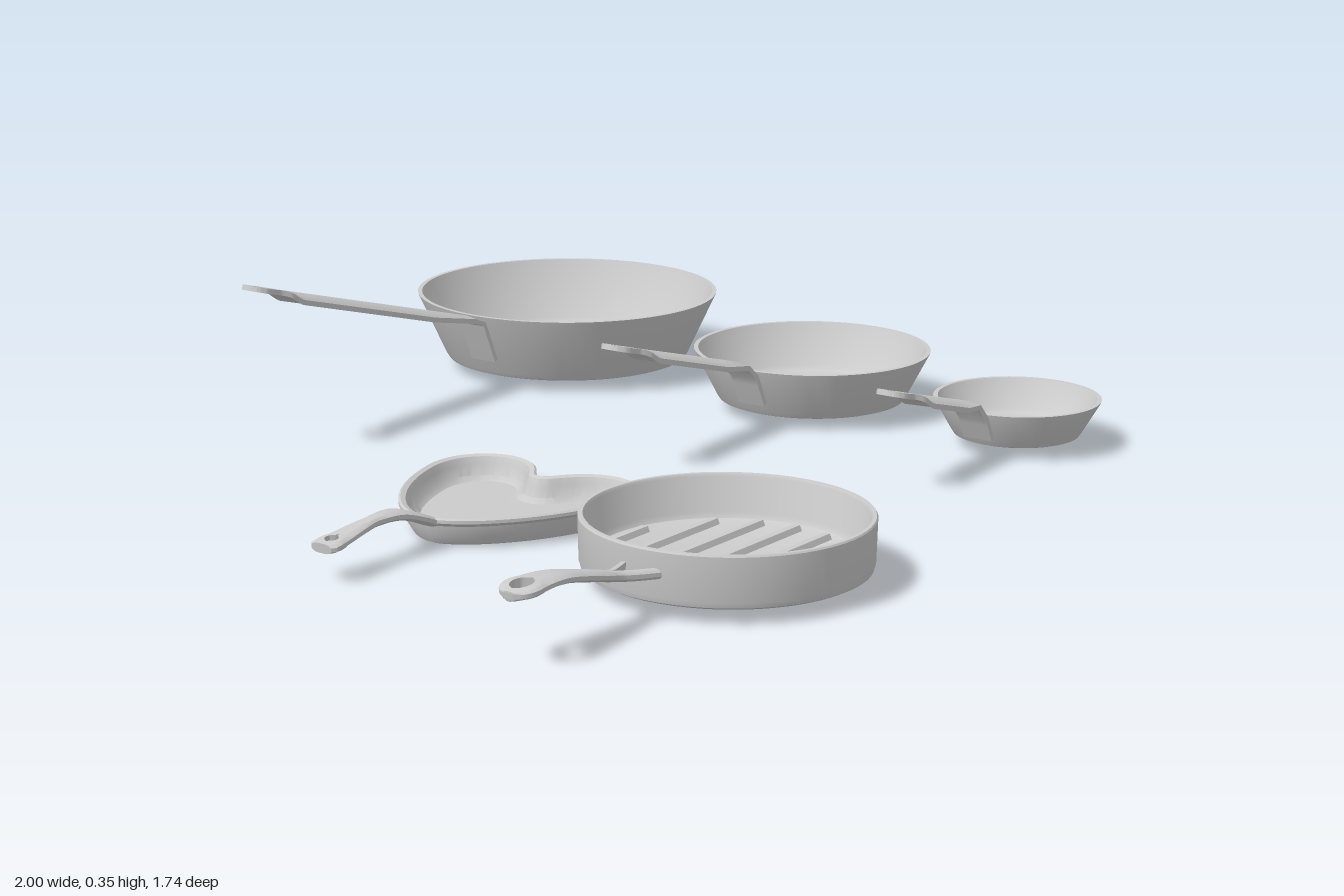
import * as THREE from 'three';
import { mergeGeometries, toCreasedNormals } from 'three/addons/utils/BufferGeometryUtils.js';

const material = new THREE.MeshStandardMaterial({ color: 0xcccccc });

function addMesh(parent, geometry, name, crease = 0.6) {
  const mesh = new THREE.Mesh(crease ? toCreasedNormals(geometry, crease) : geometry, material);
  mesh.name = name;
  parent.add(mesh);
  return mesh;
}

// Skin a list of closed rings of [x, y, z] points
function loft(rings, { flip = false, caps = false } = {}) {
  const n = rings[0].length, index = [];
  const tri = (a, b, c) => (flip ? index.push(a, c, b) : index.push(a, b, c));
  for (let i = 0; i < rings.length - 1; i++) {
    for (let j = 0; j < n; j++) {
      const a = i * n + j, b = i * n + (j + 1) % n;
      tri(a, b, b + n);
      tri(a, b + n, a + n);
    }
  }
  if (caps) {
    const last = (rings.length - 1) * n;
    for (let j = 0; j < n / 2 - 1; j++) {
      const k = n - 1 - j;
      tri(j, k, j + 1); tri(j + 1, k, k - 1);
      tri(last + j, last + j + 1, last + k); tri(last + j + 1, last + k - 1, last + k);
    }
  }
  const geometry = new THREE.BufferGeometry();
  geometry.setAttribute('position', new THREE.Float32BufferAttribute(rings.flat(2), 3));
  geometry.setIndex(index);
  return geometry;
}

// Mirrored handle; each station is { x, y, zin, zout, arch }, where zin opens holes and forks
function strap(stations, thickness, round = 0) {
  const halves = [1, -1].map((side) => {
    const rings = stations.map((s, i) => {
      const p = stations[Math.max(i - 1, 0)], q = stations[Math.min(i + 1, stations.length - 1)];
      const len = Math.hypot(q.x - p.x, q.y - p.y);
      const nx = -(q.y - p.y) / len, ny = (q.x - p.x) / len;
      const ring = [];
      for (let k = 0; k < 12; k++) {
        const top = k < 6, f = (top ? k : 11 - k) / 5;
        const z = s.zin + (s.zout - s.zin) * f;
        const h = (top ? 1 : -1) * thickness / 2 * (1 - round * f ** 4) - (s.arch || 0) * f * f;
        ring.push([s.x + nx * h, s.y + ny * h, side * z]);
      }
      return ring;
    });
    return loft(rings, { flip: side < 0, caps: true });
  });
  return mergeGeometries(halves);
}

const circleHalf = (d, centre, r) => Math.sqrt(Math.max(0, r * r - (d - centre) ** 2));
const lathe = (pts) => new THREE.LatheGeometry(pts.map(([x, y]) => new THREE.Vector2(x, y)), 72);

// Sloped pan with a long riveted strap handle
function skillet(name, z, radius, baseRadius, top, tipX) {
  const cx = 0.675, base = 0.022, wall = 0.009;
  const pan = new THREE.Group();
  pan.name = name;
  pan.position.set(cx, 0, z);
  const slope = (radius - baseRadius) / (top - base);
  addMesh(pan, lathe([
    [0, base], [baseRadius - 0.012, base], [baseRadius - 0.003, base + 0.003], [baseRadius + 0.003, base + 0.012],
    [radius - 0.001, top - 0.003], [radius, top], [radius - wall, top],
    [baseRadius + slope * 0.02 - wall, base + 0.02], [baseRadius - 0.01, base + 0.011],
    [baseRadius - 0.022, base + 0.008], [0, base + 0.008],
  ]), 'panBody');

  // Ringed tip, narrow neck, arched grip
  const line = (x) => 0.34 - 0.272 * (x + 0.32);
  const rimX = cx - radius, r = 0.033, stations = [];
  const shaft = (d) => {
    const body = THREE.MathUtils.lerp(0.019, 0.031, THREE.MathUtils.smoothstep(d, 0.068, 0.1));
    return {
      x: tipX + d - cx, y: line(tipX + d),
      zin: circleHalf(d, r, 0.016),
      zout: Math.max(circleHalf(d, r, r), d > r ? body : 0),
      arch: 0.012 * THREE.MathUtils.smoothstep(d, 0.08, 0.13),
    };
  };
  for (let i = 0; i <= 30; i++) stations.push(shaft(0.14 * (i / 30) ** 1.3));
  const straight = rimX - 0.03 - tipX;
  for (let i = 1; i <= 4; i++) stations.push(shaft(0.14 + (straight - 0.14) * i / 4));
  stations.at(-1).arch = 0.004;
  // Tab running down the outside of the wall
  for (const f of [0.1, 0.25, 0.7]) {
    const y = top - f * (top - base);
    stations.push({ x: -radius + slope * (top - y) - 0.007, y, zin: 0, zout: 0.031, arch: 0 });
  }
  addMesh(pan, strap(stations, 0.01), 'handle');

  // Rivets through the wall
  for (const [f, dz] of [[0.25, -0.014], [0.25, 0.014], [0.5, 0]]) {
    const y = top - f * (top - base);
    const rivet = addMesh(pan, new THREE.SphereGeometry(0.009, 14, 10), 'rivet', 0);
    rivet.scale.set(1.5, 1, 1);
    rivet.rotation.z = -Math.atan(slope);
    rivet.position.set(-radius + slope * (top - y) + 0.004, y, dz);
  }
  return pan;
}

// Straight-sided pan with raised ribs and a forked handle
function grillPan() {
  const pan = new THREE.Group();
  pan.name = 'grillPan';
  pan.position.set(-0.4, 0, 0.61);
  addMesh(pan, lathe([
    [0, 0.025], [0.24, 0.025], [0.25, 0.03], [0.253, 0.04], [0.255, 0.118], [0.253, 0.121], [0.246, 0.121],
    [0.243, 0.116], [0.239, 0.052], [0.233, 0.042], [0.222, 0.038], [0, 0.038],
  ]), 'panBody');
  for (let k = -3; k <= 3; k++) {
    const z = k * 0.0697, half = Math.sqrt(0.215 ** 2 - z * z);
    const profile = new THREE.Shape([[-0.011, 0], [0.011, 0], [0.006, 0.011], [-0.006, 0.011]]
      .map(([x, y]) => new THREE.Vector2(x, y)));
    const rib = new THREE.ExtrudeGeometry(profile, { depth: 2 * half, bevelEnabled: false });
    rib.translate(0, 0, -half).rotateY(Math.PI / 2);
    addMesh(pan, rib, 'rib').position.set(0, 0.037, z);
  }
  const curve = new THREE.SplineCurve([[0, 0.124], [0.05, 0.13], [0.12, 0.126], [0.2, 0.108], [0.28, 0.088], [0.352, 0.08]]
    .map(([x, y]) => new THREE.Vector2(x, y)));
  const stations = [];
  for (let i = 0; i <= 56; i++) {
    const { x: d, y } = curve.getPoint((i / 56) ** 1.3);
    const fork = THREE.MathUtils.clamp((d - 0.275) / 0.077, 0, 1);
    const body = 0.037 - 0.021 * THREE.MathUtils.clamp((d - 0.04) / 0.235, 0, 1);
    stations.push({
      x: d - 0.6, y,
      zin: d < 0.1 ? 0.8 * circleHalf(d, 0.037, 0.023) : 0.03 * fork,
      zout: (d < 0.037 ? circleHalf(d, 0.037, 0.037) : body) + 0.028 * fork,
    });
  }
  addMesh(pan, strap(stations, 0.018, 0.6), 'forkedHandle');
  return pan;
}

// Shallow heart dish, its tip towards the handle
function heartPan() {
  const pan = new THREE.Group();
  pan.name = 'heartPan';
  pan.position.set(-0.36, 0, 0.072);
  const half = [[0.135, 0.008], [0.16, 0.028], [0.185, 0.05], [0.207, 0.085], [0.213, 0.13], [0.196, 0.175], [0.155, 0.208],
    [0.1, 0.218], [0.03, 0.203], [-0.05, 0.17], [-0.12, 0.125], [-0.17, 0.077], [-0.198, 0.03]];
  const outline = [...half.map(([x, z]) => [x, -z]), [-0.204, 0], ...half.slice().reverse()];
  const curve = new THREE.CatmullRomCurve3(outline.map(([x, z]) => new THREE.Vector3(x, 0, z)), true);
  const N = 120;
  const ring = (inset, y) => Array.from({ length: N }, (_, i) => {
    const p = curve.getPoint(i / N), t = curve.getTangent(i / N);
    return [p.x + t.z * inset, y, p.z - t.x * inset];
  });
  const centre = (y) => Array.from({ length: N }, () => [0, y, 0]);
  addMesh(pan, loft([
    centre(0), ring(0.034, 0), ring(0.024, 0.004), ring(0.014, 0.02), ring(0.009, 0.04), ring(0, 0.047), ring(0, 0.053),
    ring(0.004, 0.056), ring(0.013, 0.053), ring(0.019, 0.04), ring(0.025, 0.02), ring(0.036, 0.011), centre(0.01),
  ]), 'heartDish');

  // Waisted handle with a slot at its squared end
  const bend = new THREE.SplineCurve([[0, 0.062], [0.05, 0.068], [0.13, 0.078], [0.19, 0.077], [0.24, 0.062], [0.278, 0.046]]
    .map(([x, y]) => new THREE.Vector2(x, y)));
  const stations = [];
  for (let i = 0; i <= 48; i++) {
    const { x: d, y } = bend.getPoint((i / 48) ** 1.2);
    const waist = 0.014 + 0.015 * Math.min(1, Math.abs(d - 0.13) / 0.11);
    stations.push({ x: d - 0.47, y, zin: circleHalf(d, 0.028, 0.013), zout: d < 0.006 ? 0.022 + d : waist });
  }
  addMesh(pan, strap(stations, 0.018, 0.6), 'heartHandle');
  return pan;
}

export function createModel() {
  const group = new THREE.Group();
  group.name = 'panSet';
  group.add(
    skillet('largeSkillet', -0.553, 0.32, 0.258, 0.163, -0.325),
    skillet('mediumSkillet', 0.075, 0.241, 0.192, 0.125, -0.02),
    skillet('smallSkillet', 0.555, 0.164, 0.126, 0.096, 0.185),
    grillPan(),
    heartPan(),
  );
  return group;
}
